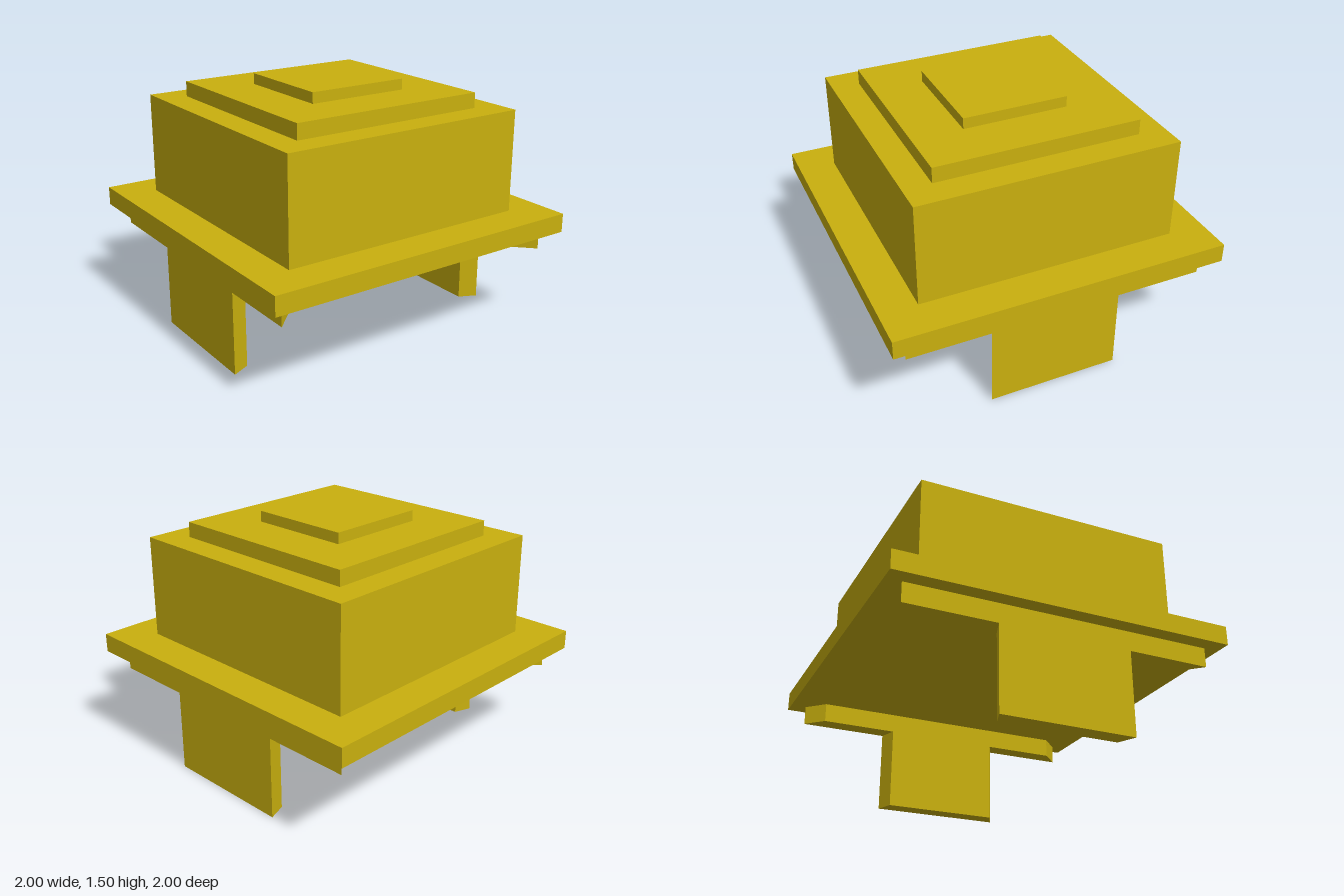
import * as THREE from 'three';

const material = new THREE.MeshStandardMaterial({ color: 0xc9b00e, flatShading: true });

const INNER = 0.8, OUTER = 0.907; // inner and outer faces of the side supports

function addMesh(parent, name, geometry) {
  const mesh = new THREE.Mesh(geometry, material);
  mesh.name = name;
  parent.add(mesh);
}

// square slab between two heights
function slab(half, y0, y1) {
  return new THREE.BoxGeometry(half * 2, y1 - y0, half * 2).translate(0, (y0 + y1) / 2, 0);
}

// upright plate with mitred ends: z limits differ on the inner and outer face
function mitredPlate(side, outerZ, innerZ, y0, y1) {
  const shape = new THREE.Shape([
    new THREE.Vector2(side * OUTER, -outerZ[0]),
    new THREE.Vector2(side * OUTER, -outerZ[1]),
    new THREE.Vector2(side * INNER, -innerZ[1]),
    new THREE.Vector2(side * INNER, -innerZ[0]),
  ]);
  return new THREE.ExtrudeGeometry(shape, { depth: y1 - y0, bevelEnabled: false })
    .rotateX(-Math.PI / 2)
    .translate(0, y0, 0);
}

export function createModel() {
  const model = new THREE.Group();
  model.name = 'steppedBlockOnLegs';

  // stacked square tiers
  const tiers = [
    ['basePlate', 1, 0.613, 0.727],
    ['body', 0.777, 0.727, 1.343],
    ['upperStep', 0.612, 1.343, 1.435],
    ['topCap', 0.313, 1.435, 1.5],
  ];
  for (const [name, half, y0, y1] of tiers) addMesh(model, name, slab(half, y0, y1));

  // a rail and a wide leg under each side
  for (const side of [1, -1]) {
    const support = new THREE.Group();
    support.name = side > 0 ? 'leftSupport' : 'rightSupport';
    addMesh(support, 'rail', mitredPlate(side, [-OUTER, OUTER], [-INNER, INNER], 0.497, 0.613));
    addMesh(support, 'leg', mitredPlate(side, [-0.378, 0.41], [-0.34, 0.36], 0, 0.497));
    model.add(support);
  }
  return model;
}
